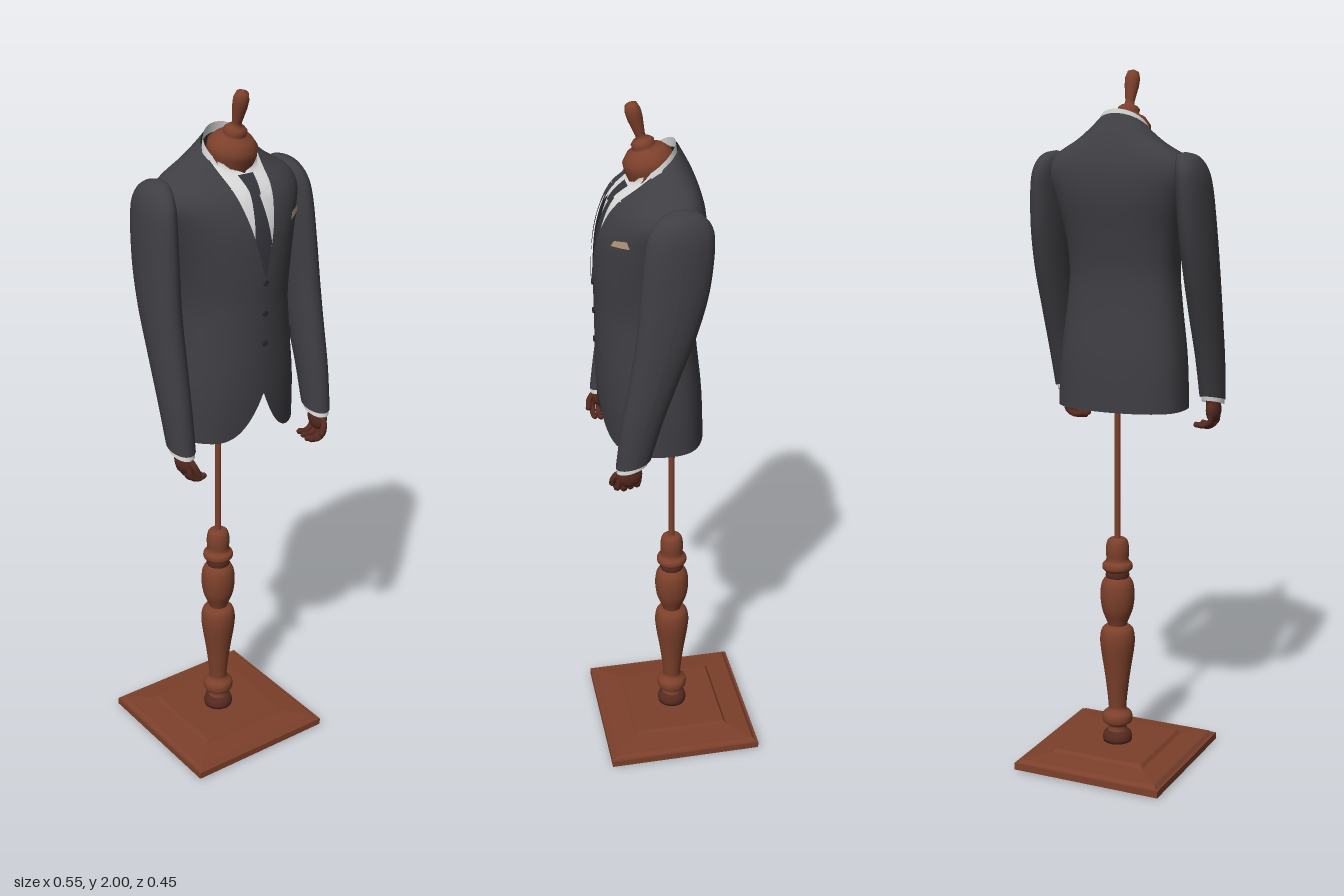
import * as THREE from 'three';

const mat = (name, color, side = THREE.FrontSide) => {
  const m = new THREE.MeshStandardMaterial({ color, side });
  m.name = name;
  return m;
};

// Torso rings: y, half width, back z, front z, centre z, forward tilt, back squareness
const RINGS = [
  [1.06, 0.19, -0.08, 0.2, 0.05, 0, 0.65],
  [1.2, 0.183, -0.075, 0.211, 0.05, 0, 0.65],
  [1.35, 0.165, -0.06, 0.212, 0.05, 0, 0.65],
  [1.45, 0.157, -0.056, 0.212, 0.05, 0, 0.65],
  [1.55, 0.168, -0.067, 0.212, 0.05, 0, 0.65],
  [1.65, 0.192, -0.08, 0.202, 0.04, 0, 0.6],
  [1.72, 0.212, -0.078, 0.178, 0.03, 0.002, 0.6],
  [1.765, 0.19, -0.066, 0.153, 0.03, 0.01, 0.65],
  [1.8, 0.13, -0.046, 0.132, 0.04, 0.026, 0.8],
  [1.835, 0.078, -0.016, 0.11, 0.047, 0.046, 1],
];

// Smooth interpolation through the rows of a table, t in 0..1
function sample(table, t) {
  const n = table.length - 1, f = Math.min(Math.max(t, 0), 1) * n;
  const i = Math.min(Math.floor(f), n - 1), u = f - i;
  const row = (k) => table[Math.min(Math.max(k, 0), n)];
  return table[0].map((_, k) => {
    const a = row(i - 1)[k], b = row(i)[k], c = row(i + 1)[k], d = row(i + 2)[k];
    return b + 0.5 * u * (c - a + u * (2 * a - 5 * b + 4 * c - d + u * (3 * (b - c) + d - a)));
  });
}

// Point on the torso; angle 0 is the front centre
function torso(angle, s, inset = 0) {
  const [y, w, zb, zf, c, tilt, e] = sample(RINGS, s);
  const k = Math.cos(angle);
  const z = k > 0 ? c + (zf - c - inset) * k : c - (c - zb - inset) * Math.pow(-k, e);
  return [(w - inset) * Math.sin(angle), y - tilt * k, z];
}

// Lowest s at which the test becomes true
function solve(test) {
  let a = 0, b = 1;
  for (let i = 0; i < 24; i++) {
    const m = (a + b) / 2;
    if (test(m)) b = m; else a = m;
  }
  return b;
}

// Front surface depth at x, y
function frontZ(x, y) {
  const ang = (s) => Math.asin(Math.max(-1, Math.min(1, x / sample(RINGS, s)[1])));
  const s = solve((q) => torso(ang(q), q)[1] >= y);
  return torso(ang(s), s)[2];
}

// Grid surface from a point function f(u, v)
function grid(nu, nv, f) {
  const pos = [], idx = [];
  for (let i = 0; i <= nu; i++) for (let j = 0; j <= nv; j++) {
    pos.push(...f(i / nu, j / nv));
    if (i < nu && j < nv) {
      const a = i * (nv + 1) + j, b = a + nv + 1;
      idx.push(a, b, a + 1, b, b + 1, a + 1);
    }
  }
  const g = new THREE.BufferGeometry();
  g.setAttribute('position', new THREE.Float32BufferAttribute(pos, 3));
  g.setIndex(idx);
  g.computeVertexNormals();
  return g;
}

// Cloth patch between two edge polylines, laid on the chest
const patch = (left, right, off, nu = 6, nv = 16) => grid(nu, nv, (u, v) => {
  const at = (line) => {
    const f = v * (line.length - 1), i = Math.min(Math.floor(f), line.length - 2);
    return line[i].map((p, k) => p + (line[i + 1][k] - p) * (f - i));
  };
  const [a, b] = [at(left), at(right)];
  const x = a[0] + (b[0] - a[0]) * u, y = a[1] + (b[1] - a[1]) * u;
  return [x, y, frontZ(x, y) + off];
});

export function createModel() {
  const root = new THREE.Group();
  const wood = mat('wood', 0x7c402b);
  const darkWood = mat('darkWood', 0x562a20);
  const cloth = mat('suitCloth', 0x3e3e43, THREE.DoubleSide);
  const tieCloth = mat('tieCloth', 0x34343c, THREE.DoubleSide);
  const shirt = mat('shirtCloth', 0xdadada, THREE.DoubleSide);
  const silk = mat('pocketSilk', 0xb39b7c, THREE.DoubleSide);
  const buttonMat = mat('button', 0x29292d);
  const under = mat('underside', 0x1d1d1d);
  const add = (name, geo, m, parent = root) => {
    const mesh = new THREE.Mesh(geo, m);
    mesh.name = name;
    parent.add(mesh);
    return mesh;
  };
  const lathe = (pts, smooth = 0) => {
    let v = pts.map(([r, y]) => new THREE.Vector2(r, y));
    if (smooth) v = new THREE.SplineCurve(v).getPoints(smooth);
    v.forEach((p) => { p.x = Math.max(p.x, 0); });
    return new THREE.LatheGeometry(v, 32);
  };

  // Square stepped base
  const slab = (name, lower, upper, y0, y1, m) => {
    const g = new THREE.CylinderGeometry(upper * Math.SQRT2, lower * Math.SQRT2, y1 - y0, 4);
    g.rotateY(Math.PI / 4).translate(0, (y0 + y1) / 2, 0);
    const flat = g.toNonIndexed();
    flat.computeVertexNormals();
    add(name, flat, m);
  };
  slab('baseUnderside', 0.215, 0.215, 0, 0.006, under);
  slab('basePlinth', 0.227, 0.227, 0.004, 0.024, wood);
  slab('baseBevel', 0.22, 0.21, 0.024, 0.034, wood);
  slab('baseSlope', 0.205, 0.145, 0.034, 0.041, wood);
  slab('basePanel', 0.145, 0.136, 0.04, 0.051, wood);

  // Turned post and pole
  add('postFoot', lathe([[0, 0.05], [0.042, 0.05], [0.044, 0.062], [0.04, 0.076], [0.03, 0.084], [0, 0.084]]), darkWood);
  add('postLower', lathe([[0.03, 0.08], [0.028, 0.1], [0.043, 0.112], [0.043, 0.135], [0.028, 0.15], [0.027, 0.17],
    [0.036, 0.25], [0.048, 0.33], [0.051, 0.37], [0.045, 0.4], [0.027, 0.412]], 60), wood);
  add('postUpper', lathe([[0.027, 0.41], [0.032, 0.425], [0.045, 0.46], [0.05, 0.5], [0.047, 0.535], [0.038, 0.553], [0.03, 0.558]], 40), wood);
  add('postRing', lathe([[0.03, 0.553], [0.035, 0.562], [0.033, 0.575], [0.03, 0.58]]), darkWood);
  add('postCap', lathe([[0.03, 0.573], [0.043, 0.583], [0.043, 0.598], [0.033, 0.61], [0.034, 0.64], [0.03, 0.665], [0.02, 0.675], [0, 0.676]], 40), wood);
  add('pole', new THREE.CylinderGeometry(0.009, 0.009, 1.1, 16).translate(0, 1.22, 0), wood);

  // Neck block with finial, leaning forward
  const neck = add('neckFinial', lathe([[0.056, -0.07], [0.062, 0], [0.067, 0.035], [0.066, 0.055], [0.05, 0.074], [0.032, 0.081],
    [0.029, 0.087], [0.031, 0.096], [0.024, 0.103], [0.014, 0.107], [0.013, 0.118], [0.02, 0.16], [0.021, 0.182], [0.016, 0.2], [0, 0.207]]), wood);
  neck.position.set(0, 1.8, 0.05);
  neck.rotation.x = 0.28;

  // Jacket body: open V neck above, rounded cutaway below
  const vEdge = (y) => 0.08 * (y - 1.52) / 0.31;
  const hem = (x) => 1.06 + 0.14 * Math.pow(Math.max(0, 1 - x / 0.14), 2.6);
  add('jacketBody', grid(120, 56, (u, v) => {
    const t = u * Math.PI * 2, angle = t - 0.6 * Math.sin(t);
    const s1 = solve((s) => { const p = torso(angle, s); return p[2] > 0.04 && Math.abs(p[0]) < vEdge(p[1]); });
    const s0 = Math.cos(angle) > 0
      ? solve((s) => { const p = torso(angle, s); return p[1] >= hem(Math.abs(p[0])); }) : 0;
    return torso(angle, s0 + (s1 - s0) * v);
  }), cloth);

  // Shirt front and collar band
  add('shirtFront', grid(32, 24, (u, v) => torso((u - 0.5) * 2.6, 0.42 + 0.58 * v, 0.009)), shirt);
  add('collarBand', grid(48, 3, (u, v) => {
    const p = torso(u * Math.PI * 2, 1, 0.003 + 0.004 * v);
    return [p[0], p[1] - 0.015 + 0.027 * v, p[2]];
  }), shirt);

  // Tie
  add('tieBlade', patch([[-0.012, 1.75], [-0.027, 1.62], [-0.012, 1.53]], [[0.012, 1.75], [0.027, 1.62], [0.012, 1.53]], -0.003), tieCloth);
  add('tieKnot', patch([[-0.024, 1.785], [-0.014, 1.74]], [[0.024, 1.785], [0.014, 1.74]], 0.004), tieCloth);

  // Jacket buttons
  for (const y of [1.515, 1.43, 1.345]) {
    const b = add('jacketButton', new THREE.CylinderGeometry(0.008, 0.008, 0.006, 16), buttonMat);
    b.rotation.x = Math.PI / 2;
    b.position.set(0, y, frontZ(0, y) + 0.002);
  }

  // Breast pocket and folded square
  add('breastWelt', patch([[0.09, 1.643], [0.09, 1.658]], [[0.162, 1.655], [0.162, 1.67]], 0.004, 6, 2), cloth);
  add('pocketSquare', patch([[0.105, 1.658], [0.115, 1.675]], [[0.158, 1.665], [0.152, 1.684]], 0.006, 6, 3), silk);

  // Sleeve sections: y, centre x, centre z, half width, half depth
  const SLEEVE = [
    [1.778, 0.196, 0.015, 0.001, 0.002], [1.768, 0.203, 0.015, 0.026, 0.045], [1.735, 0.213, 0.018, 0.038, 0.078],
    [1.68, 0.22, 0.023, 0.043, 0.09], [1.56, 0.226, 0.037, 0.046, 0.09], [1.44, 0.23, 0.06, 0.046, 0.08],
    [1.32, 0.231, 0.092, 0.044, 0.068], [1.2, 0.232, 0.125, 0.04, 0.058], [1.08, 0.231, 0.151, 0.036, 0.048],
  ];
  for (const side of [1, -1]) {
    const label = side > 0 ? 'left' : 'right';
    const mx = (pts) => pts.map(([x, y]) => [x * side, y]);

    // Lapel, shirt collar wing and hip pocket flap
    add(label + 'Lapel', patch(mx([[0.001, 1.515], [0.036, 1.66], [0.062, 1.76]]),
      mx([[0.006, 1.51], [0.088, 1.67], [0.122, 1.748]]), 0.005, 8, 20), cloth);
    add(label + 'JacketCollar', patch(mx([[0.062, 1.762], [0.077, 1.822]]),
      mx([[0.108, 1.752], [0.095, 1.815]]), 0.005, 6, 6), cloth);
    add(label + 'CollarWing', patch(mx([[0.003, 1.787], [0.04, 1.728]]),
      mx([[0.064, 1.82], [0.05, 1.745]]), 0.002, 6, 8), shirt);
    add(label + 'PocketFlap', patch(mx([[0.07, 1.315], [0.07, 1.345]]),
      mx([[0.138, 1.325], [0.138, 1.355]]), 0.006, 6, 2), cloth);

    // Sleeve and shirt cuff
    const tube = (t, a, scale) => {
      const [y, cx, cz, rx, rz] = sample(SLEEVE, t);
      return [side * (cx + rx * scale * Math.cos(a)), y - 0.012 * t * Math.sin(a), cz + rz * scale * Math.sin(a)];
    };
    add(label + 'Sleeve', grid(32, 40, (u, v) => tube(v, u * Math.PI * 2, 1)), cloth);
    add(label + 'ShirtCuff', grid(32, 2, (u, v) => {
      const p = tube(1, u * Math.PI * 2, 0.88);
      return [p[0], p[1] + 0.012 - 0.026 * v, p[2] + 0.004 * v];
    }), shirt);

    // Carved hand with curled fingers
    const hand = new THREE.Group();
    hand.name = label + 'Hand';
    root.add(hand);
    const digit = (name, pts, r) => {
      const v = pts.map(([x, y, z]) => new THREE.Vector3(x * side, y, z));
      add(name, new THREE.TubeGeometry(new THREE.CatmullRomCurve3(v), 10, r, 8), darkWood, hand);
      for (const p of [v[0], v[v.length - 1]]) {
        add(name + 'Tip', new THREE.SphereGeometry(r, 8, 6), darkWood, hand).position.copy(p);
      }
    };
    add('wrist', new THREE.CylinderGeometry(0.02, 0.02, 0.05, 16).translate(side * 0.231, 1.075, 0.155), darkWood, hand);
    const palm = add('palm', new THREE.SphereGeometry(1, 20, 14), darkWood, hand);
    palm.scale.set(0.02, 0.037, 0.036);
    palm.position.set(side * 0.23, 1.043, 0.163);
    for (let i = 0; i < 4; i++) {
      const z = 0.137 + i * 0.018, d = 0.004 * Math.abs(i - 2);
      digit('finger', [[0.232, 1.03, z], [0.228, 1.003 + d, z + 0.003], [0.208, 0.99 + d, z + 0.004], [0.186, 0.992 + d, z + 0.002]], 0.0085);
    }
    digit('thumb', [[0.228, 1.055, 0.185], [0.222, 1.035, 0.203], [0.212, 1.012, 0.207]], 0.009);
  }
  return root;
}
